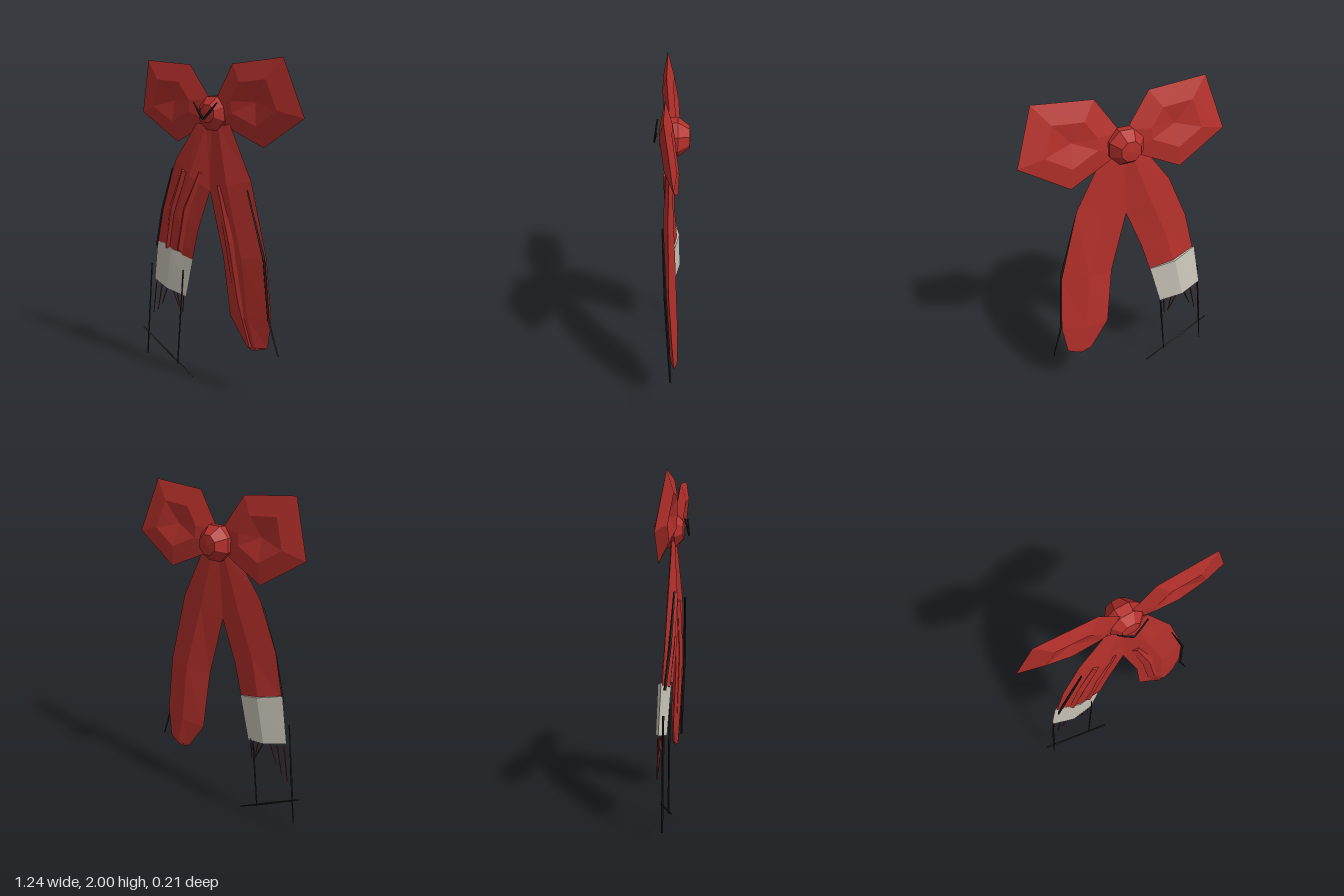
import * as THREE from 'three';

const material = (color) => new THREE.MeshStandardMaterial({ color, flatShading: true, side: THREE.DoubleSide });
const RED = material(0xb5302b), DARK = material(0x1c1a1a), CLOTH = material(0xcdc8bc), THREAD = material(0x6e1c1c);

function flatGeometry(points, index) {
  const g = new THREE.BufferGeometry();
  g.setAttribute('position', new THREE.Float32BufferAttribute(points.flat(), 3));
  g.setIndex(index);
  const flat = g.toNonIndexed();
  flat.computeVertexNormals();
  return flat;
}

// Closed skin over four-point rings, each ordered left, front, right, back
function loft(rings) {
  const index = [], last = (rings.length - 1) * 4;
  for (let r = 0; r < last; r += 4) {
    for (let i = 0; i < 4; i++) {
      const j = (i + 1) % 4;
      index.push(r + i, r + 4 + i, r + 4 + j, r + i, r + 4 + j, r + j);
    }
  }
  index.push(0, 1, 2, 0, 2, 3, last, last + 2, last + 1, last, last + 3, last + 2);
  return flatGeometry(rings.flat(), index);
}

// Ribbon rows: left x, y, right x, y, then z at edges, front ridge, back ridge
const ribbon = (rows) => loft(rows.map(([xl, yl, xr, yr, z, zf, zb]) => {
  const x = (xl + xr) / 2, y = (yl + yr) / 2;
  return [[xl, yl, z], [x, y, zf], [xr, yr, z], [x, y, zb]];
}));

// Thin bar along [x, y, z, half width] points
const bar = (pts, depth) => loft(pts.map(([x, y, z, w], i) => {
  const a = pts[Math.max(i - 1, 0)], b = pts[Math.min(i + 1, pts.length - 1)];
  const dx = b[0] - a[0], dy = b[1] - a[1], l = Math.hypot(dx, dy);
  const nx = -dy / l * w, ny = dx / l * w, d = Math.min(depth, w * 2);
  return [[x - nx, y - ny, z], [x, y, z + d], [x + nx, y + ny, z], [x, y, z - d]];
}));

// Bow loop: outline, raised ring and dented middle on both faces
function loopGeometry() {
  const outline = [[0.03, 1.64, 0], [0.335, 1.505, -0.04], [0.62, 1.68, -0.02],
    [0.51, 2.0, 0.03], [0.16, 1.97, 0.03], [0.02, 1.77, 0.01]];
  const c = [0.31, 1.76, 0], n = outline.length;
  const ring = (dz) => outline.map((p) => p.map((v, k) => v + (c[k] - v) * 0.48 + (k === 2 ? dz : 0)));
  const pts = [...outline, ...ring(0.04), ...ring(-0.025), [c[0], c[1], 0.01], [c[0], c[1], 0.0]];
  const index = [];
  for (let i = 0; i < n; i++) {
    const j = (i + 1) % n;
    index.push(i, j, n + j, i, n + j, n + i, n + i, n + j, 3 * n);
    index.push(i, 2 * n + j, j, i, 2 * n + i, 2 * n + j, 2 * n + i, 3 * n + 1, 2 * n + j);
  }
  return flatGeometry(pts, index);
}

export function createModel() {
  const model = new THREE.Group();
  const add = (name, geometry, mat) => {
    const m = new THREE.Mesh(geometry, mat);
    m.name = name;
    model.add(m);
    return m;
  };

  // Bow loops
  add('leftLoop', loopGeometry(), RED);
  add('rightLoop', loopGeometry(), RED).scale.x = -1;

  // Knot: faceted dome with its axis along z
  const profile = [[0, -0.07], [0.055, -0.065], [0.105, -0.02], [0.11, 0.035], [0.062, 0.1], [0, 0.105]];
  const knot = add('knot', new THREE.LatheGeometry(profile.map(([r, y]) => new THREE.Vector2(r, y)), 8, Math.PI / 8), RED);
  knot.rotation.x = -Math.PI / 2;
  knot.position.y = 1.69;

  // Dark V in front of the knot
  for (const s of [-1, 1]) {
    add('knotMark', bar([[s * 0.09, 1.755, 0.08, 0.004], [s * 0.04, 1.7, 0.09, 0.009], [0, 1.66, 0.096, 0.009]], 0.005), DARK);
  }

  // Ribbon tails
  add('rightTail', ribbon([
    [-0.13, 1.63, 0.04, 1.62, 0.01, 0.02, -0.005],
    [-0.30, 1.40, -0.02, 1.23, 0.015, 0.045, -0.012],
    [-0.42, 1.12, -0.12, 0.98, 0.01, 0.045, -0.015],
    [-0.48, 0.86, -0.18, 0.78, 0, 0.025, -0.03],
  ]), RED);
  add('leftTail', ribbon([
    [-0.04, 1.62, 0.13, 1.63, 0.01, 0.02, -0.005],
    [-0.02, 1.23, 0.29, 1.32, 0.015, 0.045, -0.012],
    [0.08, 0.85, 0.405, 0.88, 0.01, 0.04, -0.03],
    [0.12, 0.48, 0.43, 0.52, -0.01, 0.018, -0.042],
    [0.24, 0.31, 0.40, 0.33, -0.02, 0, -0.04],
    [0.28, 0.29, 0.36, 0.315, -0.02, -0.005, -0.038],
  ]), RED);

  // Pale cloth end
  add('clothEnd', ribbon([
    [-0.488, 0.875, -0.178, 0.79, -0.005, 0.032, -0.045],
    [-0.535, 0.59, -0.25, 0.52, -0.015, 0.015, -0.05],
  ]), CLOTH);

  // Raised folds on the tails
  const folds = [
    [[-0.21, 1.34, 0.04, 0.02], [-0.31, 1.1, 0.035, 0.03], [-0.38, 0.83, 0.015, 0.022]],
    [[-0.085, 1.34, 0.025, 0.016], [-0.2, 1.1, 0.035, 0.025], [-0.27, 0.83, 0.02, 0.022]],
    [[0.06, 1.27, 0.025, 0.03], [0.15, 0.95, 0.03, 0.04], [0.21, 0.58, 0.01, 0.04], [0.28, 0.31, -0.015, 0.025]],
  ];
  folds.forEach((p) => add('fold', bar(p, 0.016), RED));

  // Dark stripes along the outer edges
  add('rightStripe', bar([[-0.3, 1.35, 0.045, 0.003], [-0.405, 1.08, 0.035, 0.008], [-0.48, 0.83, 0.015, 0.004]], 0.009), DARK);
  add('leftStripe', bar([[0.285, 1.27, 0.045, 0.003], [0.40, 0.88, 0.03, 0.009],
    [0.425, 0.52, 0.012, 0.008], [0.49, 0.31, 0, 0.003]], 0.009), DARK);

  // Crossed dark rods below the cloth end
  const rods = [[-0.53, 0.7, -0.587, 0.06], [-0.25, 0.7, -0.307, 0.06], [-0.622, 0.24, -0.175, 0.003]];
  for (const [x, y, u, v] of rods) {
    add('rod', bar([[x, y, 0.012, 0.003], [(x + u) / 2, (y + v) / 2, 0.012, 0.007], [u, v, 0.012, 0.003]], 0.006), DARK);
  }

  // Frayed threads
  const threads = [[-0.52, 0.57, -0.552, 0.35], [-0.47, 0.56, -0.51, 0.38], [-0.42, 0.55, -0.47, 0.43],
    [-0.375, 0.55, -0.31, 0.42], [-0.335, 0.55, -0.31, 0.43], [-0.275, 0.54, -0.283, 0.41]];
  for (const [x, y, u, v] of threads) {
    add('thread', bar([[x, y, -0.018, 0.005], [u, v, -0.018, 0.002]], 0.005), THREAD);
  }
  return model;
}
